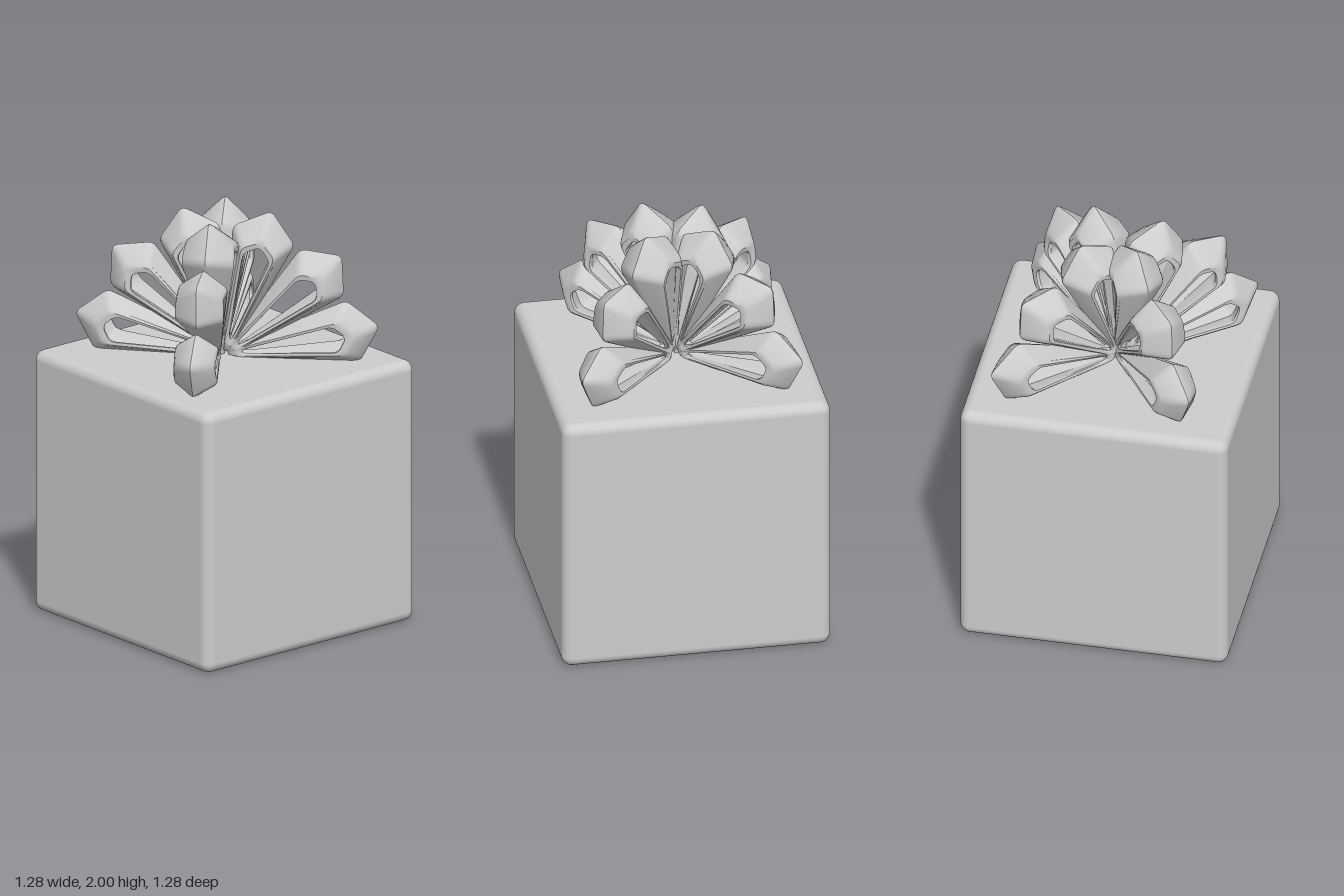
import * as THREE from 'three';
import { toCreasedNormals } from 'three/addons/utils/BufferGeometryUtils.js';
import { RoundedBoxGeometry } from 'three/addons/geometries/RoundedBoxGeometry.js';

const V = (x, y, z) => new THREE.Vector3(x, y, z);

// Closed kite-shaped loop with every corner replaced by a short curve
function roundedLoop(points, radius) {
  const out = [];
  points.forEach((p, i) => {
    const before = points[(i + points.length - 1) % points.length];
    const after = points[(i + 1) % points.length];
    const near = (q) => p.clone().lerp(q, Math.min(0.4, radius / p.distanceTo(q)));
    const curve = new THREE.QuadraticBezierCurve3(near(before), p, near(after));
    out.push(...curve.getPoints(4));
  });
  return out;
}

// Mirrored kite: hub, upper shoulder, tip, lower shoulder, hub
function kite(hub, shoulder, tip) {
  return [V(...hub), V(...shoulder), V(...tip),
    V(shoulder[0], -shoulder[1], shoulder[2]), V(hub[0], -hub[1], hub[2])];
}

// Ribbon loop with a ridge along its middle, running out along +x
function loopGeometry(half) {
  const h = half * 0.95;
  const ridge = roundedLoop(kite([0.01, 0.025, 0], [0.62, 0.155, 0], [0.75, 0, 0]), 0.03);
  const edge = roundedLoop(kite([0.05, 0.018, 0.03], [0.575, 0.09, half], [0.635, 0, h]), 0.03);
  const rim = roundedLoop(kite([0.09, 0.008, 0.025], [0.535, 0.06, half * 0.93], [0.585, 0, h * 0.93]), 0.03);
  const inner = roundedLoop(kite([0.06, 0.01, 0], [0.575, 0.105, 0], [0.66, 0, 0]), 0.03);

  // Cross-section at each station: rounded ridge, right edge, inside, left edge
  const rings = ridge.map((r, i) => {
    const e = edge[i], m = rim[i];
    const right = [
      r.clone().lerp(e, 0.1),
      e.clone().lerp(r, 0.1),
      e.clone().lerp(m, 0.25),
      m.clone().lerp(e, 0.2),
      m.clone().lerp(inner[i], 0.12),
    ];
    const left = right.map((p) => V(p.x, p.y, -p.z)).reverse();
    const apex = r.clone().lerp(V(e.x, e.y, 0), 0.04);
    return [apex, ...right, inner[i], ...left];
  });

  const n = rings[0].length;
  const index = [];
  for (let i = 0; i < rings.length; i++) {
    const next = (i + 1) % rings.length;
    for (let j = 0; j < n; j++) {
      const k = (j + 1) % n;
      const a = i * n + j, b = i * n + k, c = next * n + k, d = next * n + j;
      index.push(a, b, c, a, c, d);
    }
  }
  const geometry = new THREE.BufferGeometry().setFromPoints(rings.flat());
  geometry.setIndex(index);
  return toCreasedNormals(geometry, 0.6);
}

export function createModel() {
  const model = new THREE.Group();
  model.name = 'giftBox';
  const grey = new THREE.MeshStandardMaterial({ color: 0xcccccc });
  grey.name = 'grey';

  // Box with softened edges
  const box = new THREE.Mesh(new RoundedBoxGeometry(1.284, 1.29, 1.284, 4, 0.05), grey);
  box.name = 'box';
  box.position.y = 0.645;
  model.add(box);

  // Bow: four arms of three stacked ribbon loops
  const tiers = [
    { name: 'lowerLoop', tilt: 12.5, geometry: loopGeometry(0.105) },
    { name: 'middleLoop', tilt: 42.5, geometry: loopGeometry(0.12) },
    { name: 'upperLoop', tilt: 73, geometry: loopGeometry(0.128) },
  ];
  // Each arm: heading from +x towards +z in degrees, hub x, hub z
  const arms = [[50, -0.03, 0.02], [140, 0, -0.02], [225, -0.02, 0], [316.5, 0, -0.01]];
  const bow = new THREE.Group();
  bow.name = 'bow';
  bow.position.y = 1.295;
  for (const [heading, x, z] of arms) {
    const arm = new THREE.Group();
    arm.name = 'bowArm';
    arm.position.set(x, 0, z);
    arm.rotation.y = -THREE.MathUtils.degToRad(heading);
    for (const { name, tilt, geometry } of tiers) {
      const loop = new THREE.Mesh(geometry, grey);
      loop.name = name;
      loop.rotation.z = THREE.MathUtils.degToRad(tilt);
      arm.add(loop);
    }
    bow.add(arm);
  }
  model.add(bow);
  return model;
}
